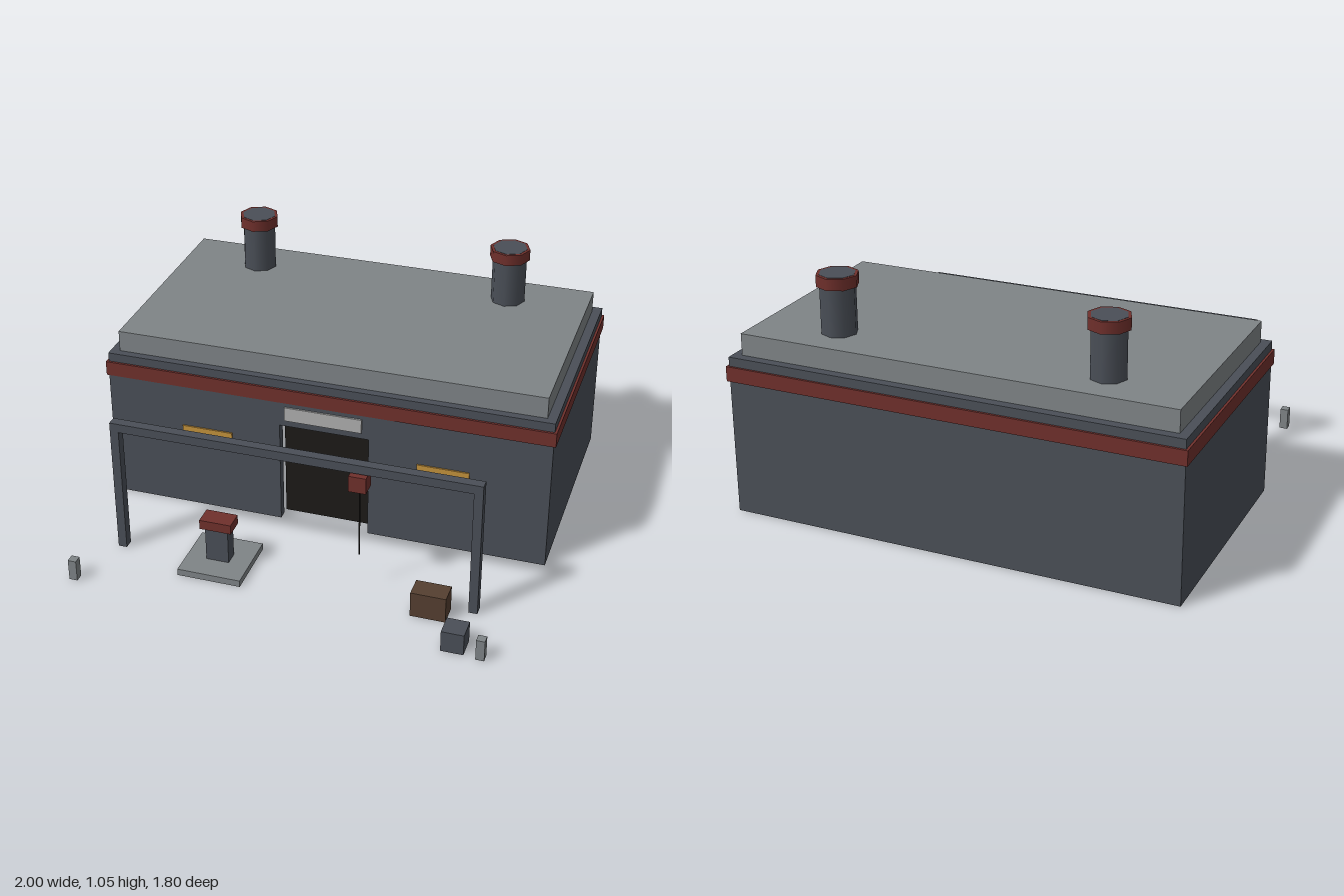
import * as THREE from 'three';

const COLORS = {
  wall: 0x4a4f57, light: 0x7f8487, red: 0x70302c, amber: 0xc4923c,
  brown: 0x553f30, sign: 0xb0b0b0, dark: 0x1c1a17,
};
const materials = {};
for (const key in COLORS) materials[key] = new THREE.MeshStandardMaterial({ color: COLORS[key] });

// Box given by its limits on each axis
function box(parent, name, color, [x0, x1], [y0, y1], [z0, z1]) {
  const mesh = new THREE.Mesh(new THREE.BoxGeometry(x1 - x0, y1 - y0, z1 - z0), materials[color]);
  mesh.position.set((x0 + x1) / 2, (y0 + y1) / 2, (z0 + z1) / 2);
  mesh.name = name;
  parent.add(mesh);
}

// Upright eight-sided cylinder
function column(parent, name, color, radius, [y0, y1], x, z) {
  const mesh = new THREE.Mesh(new THREE.CylinderGeometry(radius, radius, y1 - y0, 8), materials[color]);
  mesh.position.set(x, (y0 + y1) / 2, z);
  mesh.name = name;
  parent.add(mesh);
}

function group(parent, name) {
  const g = new THREE.Group();
  g.name = name;
  parent.add(g);
  return g;
}

export function createModel() {
  const model = new THREE.Group();
  model.name = 'building';

  // Hollow walls with a doorway in the front and no floor
  const walls = group(model, 'walls');
  box(walls, 'backWall', 'wall', [-0.99, 0.99], [0, 0.6], [-0.89, -0.85]);
  for (const s of [-1, 1]) {
    const span = (a, b) => (s > 0 ? [a, b] : [-b, -a]);
    box(walls, 'sideWall', 'wall', span(0.95, 0.99), [0, 0.6], [-0.85, 0.155]);
    box(walls, 'frontWall', 'wall', span(0.2, 0.99), [0, 0.6], [0.155, 0.195]);
  }
  box(walls, 'lintel', 'wall', [-0.2, 0.2], [0.48, 0.6], [0.155, 0.195]);

  // Stepped roof over a red band
  const roof = group(model, 'roof');
  box(roof, 'roofBand', 'red', [-1, 1], [0.595, 0.66], [-0.9, 0.2]);
  box(roof, 'roofEdge', 'wall', [-0.99, 0.99], [0.66, 0.7], [-0.89, 0.19]);
  box(roof, 'roofTop', 'light', [-0.95, 0.95], [0.7, 0.795], [-0.85, 0.155]);

  // Recessed door, sign panel and windows
  box(model, 'door', 'dark', [-0.2, 0.2], [0, 0.48], [0.1, 0.125]);
  box(model, 'signPanel', 'sign', [-0.175, 0.17], [0.51, 0.575], [0.19, 0.203]);
  box(model, 'window', 'amber', [-0.65, -0.42], [0.305, 0.4], [0.19, 0.202]);
  box(model, 'window', 'amber', [0.415, 0.645], [0.305, 0.4], [0.19, 0.202]);

  // Chimneys run from the ground up through the roof
  for (const x of [-0.592, 0.592]) {
    const chimney = group(model, 'chimney');
    column(chimney, 'chimneyStack', 'wall', 0.077, [0, 1.051], x, -0.665);
    column(chimney, 'chimneyCap', 'red', 0.09, [1.0, 1.05], x, -0.665);
  }

  // Gate frame with a hanging lamp and cord
  const gate = group(model, 'gate');
  const gateZ = [0.57, 0.613];
  box(gate, 'gatePost', 'wall', [-0.8, -0.762], [0, 0.58], gateZ);
  box(gate, 'gatePost', 'wall', [0.758, 0.796], [0, 0.58], gateZ);
  box(gate, 'gateBeam', 'wall', [-0.8, 0.796], [0.58, 0.62], gateZ);
  box(gate, 'hangingLamp', 'red', [0.246, 0.32], [0.5, 0.573], [0.555, 0.63]);
  box(gate, 'hangingCord', 'dark', [0.281, 0.286], [0.175, 0.5], [0.59, 0.595]);

  // Pedestal on a flat base
  const pedestal = group(model, 'pedestal');
  box(pedestal, 'pedestalBase', 'light', [-0.475, -0.195], [0, 0.03], [0.45, 0.735]);
  box(pedestal, 'pedestalColumn', 'wall', [-0.386, -0.285], [0.03, 0.187], [0.562, 0.626]);
  box(pedestal, 'pedestalCap', 'red', [-0.406, -0.266], [0.187, 0.23], [0.552, 0.638]);

  // Crates and marker posts
  box(model, 'largeCrate', 'brown', [0.535, 0.685], [0, 0.115], [0.614, 0.707]);
  box(model, 'smallCrate', 'wall', [0.711, 0.806], [0, 0.095], [0.793, 0.888]);
  for (const x of [-0.88, 0.875]) {
    box(model, 'markerPost', 'light', [x - 0.018, x + 0.018], [0, 0.095], [0.862, 0.9]);
  }

  return model;
}
